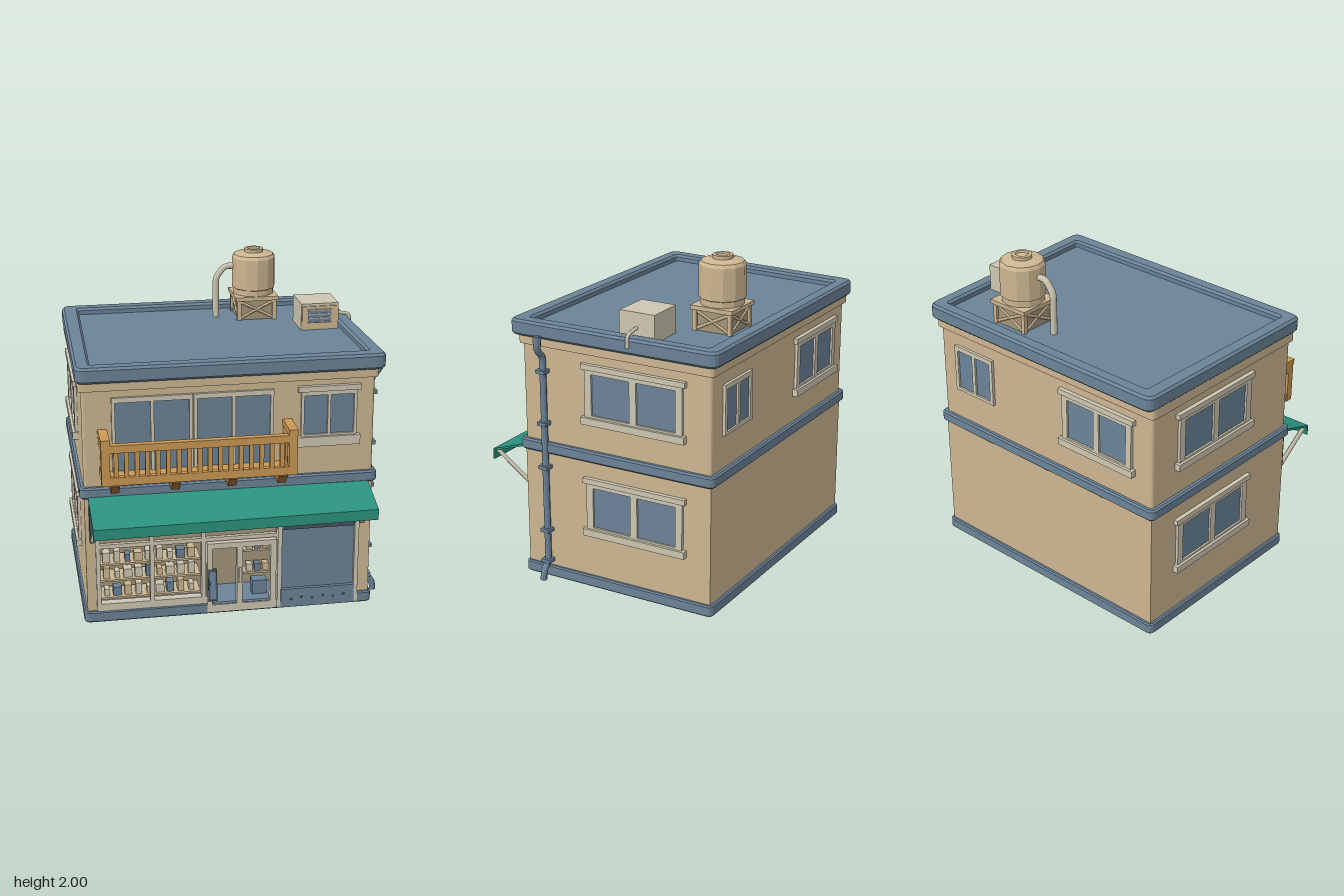
import * as THREE from 'three';

const mat = (name, color, side = THREE.FrontSide) => {
  const m = new THREE.MeshStandardMaterial({ color, side });
  m.name = name;
  return m;
};

export function createModel() {
  const wall = mat('wall tan', 0xcdb691), blue = mat('slate blue', 0x6b8397),
    cream = mat('trim cream', 0xcdc6b1), wood = mat('balcony wood', 0xca9852),
    darkWood = mat('bracket wood', 0x94693a), green = mat('awning green', 0x2b927e),
    shade = mat('shop interior', 0xa39579), dark = mat('dark metal', 0x46535f);

  const root = new THREE.Group();
  root.name = 'shopHouse';
  const group = (name, parent = root) => {
    const g = new THREE.Group();
    g.name = name;
    parent.add(g);
    return g;
  };
  const add = (parent, name, geo, m, x = 0, y = 0, z = 0) => {
    const mesh = new THREE.Mesh(geo, m);
    mesh.name = name;
    mesh.position.set(x, y, z);
    parent.add(mesh);
    return mesh;
  };
  // Box given by its limits on each axis
  const box = (p, name, m, x0, x1, y0, y1, z0, z1) => add(p, name,
    new THREE.BoxGeometry(x1 - x0, y1 - y0, z1 - z0), m, (x0 + x1) / 2, (y0 + y1) / 2, (z0 + z1) / 2);
  // Straight bar between two points
  const bar = (p, name, m, a, b, r, sides = 4) => {
    const A = new THREE.Vector3(...a), B = new THREE.Vector3(...b);
    const mesh = add(p, name, new THREE.CylinderGeometry(r, r, A.distanceTo(B), sides), m);
    mesh.position.copy(A).add(B).multiplyScalar(0.5);
    mesh.quaternion.setFromUnitVectors(new THREE.Vector3(0, 1, 0), B.sub(A).normalize());
    return mesh;
  };
  const pipe = (p, name, m, pts, r) => {
    const path = new THREE.CurvePath(), v = pts.map(q => new THREE.Vector3(...q));
    let from = v[0];
    for (let i = 1; i < v.length - 1; i++) {
      const inn = v[i].clone().lerp(v[i - 1], 0.03 / v[i].distanceTo(v[i - 1]));
      const out = v[i].clone().lerp(v[i + 1], 0.03 / v[i].distanceTo(v[i + 1]));
      path.add(new THREE.LineCurve3(from, inn));
      path.add(new THREE.QuadraticBezierCurve3(inn, v[i], out));
      from = out;
    }
    path.add(new THREE.LineCurve3(from, v[v.length - 1]));
    return add(p, name, new THREE.TubeGeometry(path, 60, r, 8), m);
  };

  // Slightly skewed plan: front left, front right, back right, back left
  const plan = [[-0.89, 0.49], [0.83, 0.515], [0.80, -0.72], [-0.86, -0.735]];
  const grow = d => plan.map(([x, z]) => [x + Math.sign(x) * d, z + Math.sign(z) * d]);
  const outline = (pts, r, Kind = THREE.Shape) => {
    const s = new Kind(), v = pts.map(([x, z]) => new THREE.Vector2(x, -z));
    v.forEach((c, i) => {
      const prev = v[(i + 3) % 4], next = v[(i + 1) % 4];
      const a = c.clone().lerp(prev, r / c.distanceTo(prev)), b = c.clone().lerp(next, r / c.distanceTo(next));
      if (i === 0) s.moveTo(a.x, a.y); else s.lineTo(a.x, a.y);
      s.quadraticCurveTo(c.x, c.y, b.x, b.y);
    });
    s.closePath();
    return s;
  };
  const slab = (name, m, shape, y0, y1, bevel = 0) => add(root, name, new THREE.ExtrudeGeometry(shape, {
    depth: y1 - y0 - 2 * bevel, curveSegments: 4, bevelEnabled: bevel > 0,
    bevelSize: bevel, bevelThickness: bevel, bevelOffset: -bevel, bevelSegments: 1,
  }).rotateX(-Math.PI / 2), m, 0, y0 + bevel, 0);

  // Storeys, bands and roof; the ground floor plan has a notch for the shop
  slab('base', blue, outline(grow(0.02), 0.04), 0, 0.07, 0.008);
  const notch = new THREE.Shape([[-0.89, 0.49], [-0.82, 0.491], [-0.82, 0.26], [0.27, 0.26], [0.27, 0.507],
    ...plan.slice(1)].map(([x, z]) => new THREE.Vector2(x, -z)));
  slab('groundFloorWalls', wall, notch, 0.06, 0.82);
  slab('middleBand', blue, outline(grow(0.027), 0.04), 0.80, 0.87, 0.01);
  slab('upperFloorWalls', wall, outline(plan, 0.02), 0.86, 1.52);
  slab('cornice', wall, outline(grow(0.02), 0.03), 1.455, 1.52);
  const rim = outline([[-0.925, 0.545], [0.885, 0.575], [0.85, -0.77], [-0.885, -0.79]], 0.06);
  rim.holes.push(outline([[-0.83, 0.46], [0.79, 0.475], [0.765, -0.68], [-0.785, -0.70]], 0.01, THREE.Path));
  slab('roofParapet', blue, rim, 1.51, 1.605, 0.014);
  slab('roofDeck', blue, outline(grow(-0.01), 0.03), 1.51, 1.565);

  // Each facade group has x along its wall and z pointing outward
  const [front, right, back, left] = ['front', 'right', 'back', 'left'].map((n, i) => {
    const [ax, az] = plan[i], [bx, bz] = plan[(i + 1) % 4];
    const g = group(n + 'Facade');
    g.position.set((ax + bx) / 2, 0, (az + bz) / 2);
    g.rotation.y = Math.atan2(az - bz, bx - ax);
    return g;
  });
  const shop = group('frontFittings', front);
  shop.position.x = 0.03;

  // Window with frame, panes, lintel and sill
  const makeWindow = (p, x, y0, y1, paneW, gap, n, ledge = 0.05) => {
    const g = group('window', p), W = n * paneW + (n + 1) * gap;
    g.position.x = x;
    box(g, 'glass', blue, -W / 2 + 0.01, W / 2 - 0.01, y0, y1, 0, 0.006);
    for (let i = 0; i <= n; i++) {
      const a = -W / 2 + i * (paneW + gap);
      box(g, 'frameUpright', cream, a, a + gap, y0 - 0.02, y1 + 0.02, 0, 0.018);
    }
    box(g, 'frameTop', cream, -W / 2, W / 2, y1, y1 + 0.03, 0, 0.018);
    box(g, 'frameBottom', cream, -W / 2, W / 2, y0 - 0.02, y0, 0, 0.018);
    if (!ledge) return;
    box(g, 'lintel', cream, -W / 2 - 0.02, W / 2 + 0.02, y1 + 0.025, y1 + 0.058, 0, 0.026);
    box(g, 'sill', cream, -W / 2 - 0.02, W / 2 + 0.02, y0 - 0.015 - ledge * 0.8, y0 - 0.012, 0, 0.034);
  };
  for (const [g, x] of [[right, 0.125], [left, -0.08]])
    for (const y of [0.39, 1.09]) makeWindow(g, x, y, y + 0.25, 0.25, 0.045, 2);
  makeWindow(back, -0.55, 1.09, 1.34, 0.12, 0.025, 2, 0);
  makeWindow(back, 0.43, 1.09, 1.34, 0.2, 0.04, 2);
  makeWindow(shop, 0.555, 1.12, 1.36, 0.14, 0.018, 2, 0.07);
  for (const x of [-0.485, -0.01]) makeWindow(shop, x, 0.92, 1.38, 0.205, 0.02, 2, 0);

  // Balcony
  const balcony = group('balcony', shop);
  box(balcony, 'balconyFloor', wood, -0.79, 0.325, 0.94, 0.96, 0, 0.17);
  box(balcony, 'bottomRail', wood, -0.79, 0.325, 0.94, 0.99, 0.15, 0.18);
  box(balcony, 'topRail', wood, -0.79, 0.325, 1.14, 1.185, 0.145, 0.185);
  for (let i = 0; i < 17; i++) {
    const x = -0.715 + i * 0.06;
    box(balcony, 'baluster', wood, x - 0.013, x + 0.013, 0.985, 1.145, 0.155, 0.177);
  }
  for (const x of [-0.775, 0.308]) {
    box(balcony, 'cornerPost', wood, x - 0.025, x + 0.025, 0.94, 1.19, 0.14, 0.185);
    box(balcony, 'sideTopRail', wood, x - 0.025, x + 0.025, 1.14, 1.19, 0, 0.15);
    box(balcony, 'sideBottomRail', wood, x - 0.02, x + 0.02, 0.94, 0.99, 0, 0.15);
    box(balcony, 'sideCap', wood, x - 0.027, x + 0.027, 1.185, 1.22, 0, 0.19);
    for (const z of [0.01, 0.085]) box(balcony, 'sideBaluster', wood, x - 0.015, x + 0.015, 0.98, 1.15, z, z + 0.028);
  }
  const bracket = new THREE.Shape([[0, 0.945], [0, 0.93], [0.04, 0.87], [0.12, 0.87], [0.17, 0.93], [0.17, 0.945]]
    .map(q => new THREE.Vector2(...q)));
  for (const x of [-0.72, -0.37, -0.04, 0.255])
    add(balcony, 'bracket', new THREE.ExtrudeGeometry(bracket, { depth: 0.05, bevelEnabled: false })
      .rotateY(-Math.PI / 2), darkWood, x + 0.025, 0, 0);

  // Awning with hanging front edge and stays
  const awning = group('awning');
  const cover = new THREE.Shape([[0.52, 0.815], [0.787, 0.725], [0.787, 0.66], [0.777, 0.66], [0.777, 0.715], [0.52, 0.80]]
    .map(q => new THREE.Vector2(...q)));
  add(awning, 'awningCover', new THREE.ExtrudeGeometry(cover, { depth: 1.67, bevelEnabled: false })
    .rotateY(-Math.PI / 2), green, 0.80, 0, 0);
  for (const x of [-0.85, 0.775]) {
    bar(awning, 'awningStay', cream, [x, 0.54, 0.52], [x, 0.715, 0.77], 0.016);
    box(awning, 'stayPlate', dark, x - 0.016, x + 0.016, 0.53, 0.8, 0.49, 0.53);
  }

  // Shop front: transoms, mullions, door and counter
  box(shop, 'transomPanel', shade, -0.82, 0.27, 0.49, 0.80, -0.03, -0.012);
  for (const [a, b] of [[-0.78, -0.54], [-0.45, -0.25], [-0.12, 0.22]]) {
    box(shop, 'transomFrame', cream, a, b, 0.55, 0.605, -0.012, 0);
    box(shop, 'transomVent', wall, a + 0.012, b - 0.012, 0.562, 0.593, 0, 0.005);
  }
  box(shop, 'headRail', cream, -0.83, 0.28, 0.475, 0.50, -0.03, 0.012);
  box(shop, 'upperRail', cream, -0.83, 0.75, 0.65, 0.675, -0.02, 0.012);
  for (const x of [-0.82, -0.5, -0.19, 0.265])
    box(shop, 'mullion', cream, x - 0.013, x + 0.013, 0.06, 0.67, -0.03, 0.014);
  box(shop, 'windowSill', cream, -0.83, -0.17, 0.06, 0.115, -0.04, 0.014);
  const door = group('door', shop);
  for (const [a, b] of [[-0.17, -0.14], [0.01, 0.045], [0.215, 0.25]])
    box(door, 'doorStile', cream, a, b, 0.01, 0.46, -0.02, 0.026);
  box(door, 'doorTop', cream, -0.17, 0.25, 0.43, 0.465, -0.02, 0.026);
  box(door, 'doorBottom', cream, -0.17, 0.25, 0.01, 0.06, -0.02, 0.026);
  box(door, 'doorHandle', cream, 0.02, 0.035, 0.2, 0.3, 0.026, 0.036);
  const board = group('leaningBoard', shop);
  board.position.set(-0.14, 0.1, 0.055);
  board.rotation.x = -0.14;
  box(board, 'boardFrame', dark, -0.027, 0.027, 0, 0.2, -0.012, 0);
  box(board, 'boardFace', blue, -0.016, 0.016, 0.015, 0.185, 0, 0.005);

  // Shelves with goods
  const goods = group('shelvesAndGoods', shop), colours = [cream, blue, wall, cream, cream];
  box(goods, 'interiorBack', shade, -0.82, 0.27, 0.07, 0.5, -0.236, -0.228);
  for (const [row, y] of [0.125, 0.24, 0.345].entries()) {
    box(goods, 'shelf', wall, -0.81, -0.2, y - 0.012, y, -0.2, -0.05);
    for (let i = 0; i < 9; i++) {
      const w = 0.03 + ((i * 7 + row * 5) % 4) * 0.007, h = 0.045 + ((i * 5 + row * 3) % 4) * 0.009;
      const x = -0.765 + i * 0.064;
      box(goods, 'product', colours[(i + row * 2) % 5], x - w / 2, x + w / 2, y, y + h, -0.13, -0.07);
    }
  }
  for (const y of [0.17, 0.32]) {
    box(goods, 'wallShelf', wall, 0.08, 0.26, y, y + 0.012, -0.228, -0.14);
    for (let i = 0; i < 3; i++)
      box(goods, 'product', colours[i], 0.1 + i * 0.05, 0.137 + i * 0.05, y + 0.012, y + 0.06, -0.2, -0.15);
  }
  box(goods, 'counter', blue, 0.12, 0.21, 0.07, 0.16, -0.13, -0.06);

  // Roller shutter
  const shutter = group('shutter', shop);
  box(shutter, 'shutterCurtain', blue, 0.285, 0.73, 0.13, 0.52, 0, 0.008);
  box(shutter, 'shutterFoot', blue, 0.28, 0.735, 0.01, 0.13, 0, 0.03);
  box(shutter, 'shutterShadowGap', dark, 0.28, 0.735, 0.52, 0.55, 0, 0.02);
  box(shutter, 'shutterBox', wall, 0.25, 0.75, 0.55, 0.65, 0, 0.03);
  box(shutter, 'shutterLip', cream, 0.25, 0.76, 0.56, 0.63, 0.02, 0.05);
  for (const x of [0.272, 0.745]) box(shutter, 'shutterGuide', cream, x - 0.013, x + 0.013, 0.01, 0.56, 0, 0.024);
  for (let i = 0; i < 6; i++)
    add(shutter, 'rivet', new THREE.CylinderGeometry(0.008, 0.008, 0.006, 6).rotateX(Math.PI / 2),
      dark, 0.345 + i * 0.065, 0.06 + (i % 2) * 0.012, 0.032);

  // Downpipe
  const drain = group('downpipe');
  pipe(drain, 'drainPipe', blue, [[0.905, 1.535, 0.365], [0.905, 1.45, 0.365], [0.85, 1.4, 0.365],
    [0.85, 0.1, 0.365], [0.90, 0.06, 0.365], [0.905, 0.0, 0.365]], 0.02);
  for (const y of [0.11, 0.31, 0.715, 0.99, 1.31])
    box(drain, 'pipeClamp', blue, 0.81, 0.883, y - 0.011, y + 0.011, 0.335, 0.395);
  add(drain, 'pipeHead', new THREE.CylinderGeometry(0.026, 0.022, 0.06, 8), blue, 0.898, 1.5, 0.365);

  // Water tank on its braced stand
  const tank = group('waterTank');
  tank.position.set(0.31, 0, -0.51);
  const tankProfile = [[0, 1.70], [0.128, 1.70], [0.128, 1.75], [0.137, 1.755], [0.137, 1.945], [0.125, 1.965],
    [0.06, 1.978], [0.06, 1.998], [0.04, 2.0], [0.035, 1.99], [0, 1.99]].map(q => new THREE.Vector2(...q));
  const tankGeo = new THREE.LatheGeometry(tankProfile, 12).toNonIndexed();
  tankGeo.computeVertexNormals();
  add(tank, 'tankBody', tankGeo, wall);
  box(tank, 'standTop', wall, -0.135, 0.135, 1.69, 1.715, -0.135, 0.135);
  box(tank, 'standCore', shade, -0.11, 0.11, 1.56, 1.69, -0.11, 0.11);
  for (let i = 0; i < 4; i++) {
    const side = group('standSide', tank);
    side.rotation.y = i * Math.PI / 2;
    box(side, 'standLeg', wall, 0.1, 0.125, 1.56, 1.69, 0.1, 0.125);
    for (const s of [-1, 1]) bar(side, 'standBrace', wall, [s * 0.11, 1.575, 0.115], [-s * 0.11, 1.685, 0.115], 0.009);
  }
  pipe(tank, 'tankPipe', cream, [[-0.12, 1.89, 0], [-0.185, 1.89, 0], [-0.24, 1.82, 0], [-0.24, 1.56, 0]], 0.02);

  // Rooftop cooling unit
  const unit = group('coolingUnit');
  box(unit, 'unitCase', cream, 0.53, 0.765, 1.56, 1.73, -0.335, -0.11);
  box(unit, 'unitFace', wall, 0.535, 0.76, 1.57, 1.715, -0.11, -0.102);
  box(unit, 'unitGrille', blue, 0.57, 0.715, 1.615, 1.695, -0.102, -0.096);
  for (let i = 0; i < 4; i++) box(unit, 'louvre', cream, 0.57, 0.715, 1.613 + i * 0.026, 1.619 + i * 0.026, -0.102, -0.088);
  pipe(unit, 'unitPipe', cream, [[0.76, 1.64, -0.22], [0.865, 1.625, -0.22], [0.865, 1.55, -0.22]], 0.011);
  return root;
}
